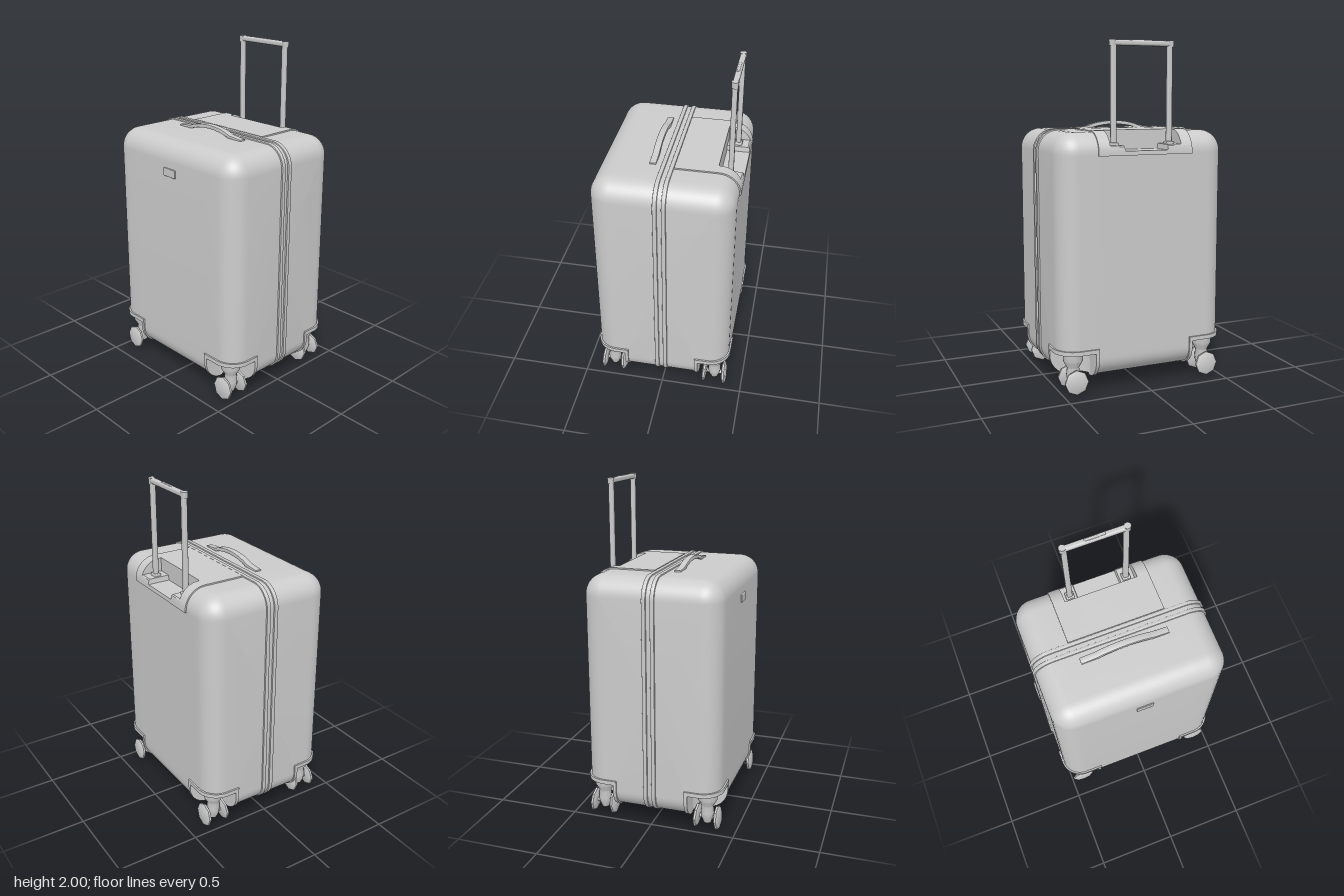
import * as THREE from 'three';
import { toCreasedNormals } from 'three/addons/utils/BufferGeometryUtils.js';
import { RoundedBoxGeometry } from 'three/addons/geometries/RoundedBoxGeometry.js';

const material = new THREE.MeshStandardMaterial({ color: 0xcccccc });
const HX = 0.41, HZ = 0.52, Y0 = 0.08, Y1 = 1.49, R = 0.12; // shell half sizes, heights, corner radius
const CUT_Y = 0.235, CUT_X = 0.23, CUT_Z = 0.31;            // wheel wells
const ARC = 10;

function add(parent, name, geometry, x = 0, y = 0, z = 0) {
  const mesh = new THREE.Mesh(geometry, material);
  mesh.name = name;
  mesh.position.set(x, y, z);
  parent.add(mesh);
  return mesh;
}

function box(parent, name, w, h, d, x, y, z, r = 0.006) {
  return add(parent, name, new RoundedBoxGeometry(w, h, d, 2, r), x, y, z);
}

function extrude(shape, depth, bevel = 0) {
  const geometry = new THREE.ExtrudeGeometry(shape, {
    depth, curveSegments: 10, bevelEnabled: bevel > 0,
    bevelSize: bevel, bevelThickness: bevel, bevelSegments: 2,
  });
  return toCreasedNormals(geometry, 0.6);
}

// Shape drawn in (z, y), thickness running along -x
const extrudeX = (shape, depth, bevel) => extrude(shape, depth, bevel).rotateY(-Math.PI / 2);
// Shape drawn in (x, z), thickness running down
const extrudeDown = (shape, depth, bevel) => extrude(shape, depth, bevel).rotateX(Math.PI / 2);

// One shell outline at depth z; wheel wells, raised panel and handle recess are optional
function section({ z, inset = 0, wheel = false, panel = false, floor = null }) {
  const hx = HX - inset, y0 = Y0 + inset, y1 = Y1 - inset, r = R - inset;
  const lift = panel ? 0.008 : 0;
  const points = [];
  const put = (x, y) => points.push(new THREE.Vector3(x, y, z));
  const low = (x, y) => put(x, wheel ? Math.max(y, CUT_Y) : y);
  const sunk = (x, y) => put(x, floor === null ? y : Math.min(y, floor));
  const arc = (cx, cy, start, radius, emit) => {
    for (let i = 0; i <= ARC; i++) {
      const a = start + (i / ARC) * Math.PI / 2;
      emit(cx + radius * Math.cos(a), cy + radius * Math.sin(a));
    }
  };
  const cx = HX - R, cb = Y0 + R, ct = Y1 - R;
  low(-CUT_X, y0); put(-CUT_X, y0); put(CUT_X, y0); low(CUT_X, y0);
  arc(cx, cb, -Math.PI / 2, r, low);
  put(hx, CUT_Y);
  put(hx, 1.36); put(hx + lift, 1.36);
  arc(cx, ct, 0, r + lift, sunk);
  sunk(0.28, y1 + lift); put(0.28, y1 + lift);
  put(0.04, y1 + lift); put(0.04, y1);
  arc(-cx, ct, Math.PI / 2, r, put);
  put(-hx, CUT_Y);
  arc(-cx, cb, Math.PI, r, low);
  return points;
}

// Shell lofted from back to front
function shellGeometry() {
  const half = [
    { z: 0.13, panel: true, floor: 1.385 }, { z: 0.135, panel: true, floor: 1.415 },
    { z: 0.22, panel: true, floor: 1.415 }, { z: 0.22, panel: true },
    { z: 0.29, panel: true }, { z: 0.29 },
    { z: CUT_Z }, { z: CUT_Z, wheel: true },
  ];
  for (let i = 0; i <= ARC; i++) {
    const a = (i / ARC) * Math.PI / 2;
    half.push({ z: HZ - R + R * Math.sin(a), inset: R * (1 - Math.cos(a)), wheel: true });
  }
  const stations = [...half.map((s) => ({ ...s, z: -s.z })).reverse(), ...half];
  const rings = stations.map(section);
  const positions = [];
  const cross = new THREE.Vector3(), edge = new THREE.Vector3();
  const tri = (a, b, c) => {
    cross.subVectors(b, a).cross(edge.subVectors(c, a));
    if (cross.length() > 1e-9) for (const p of [a, b, c]) positions.push(p.x, p.y, p.z);
  };
  const n = rings[0].length;
  for (let s = 0; s < rings.length - 1; s++) {
    for (let i = 0; i < n; i++) {
      const j = (i + 1) % n, a = rings[s], b = rings[s + 1];
      tri(a[i], a[j], b[j]);
      tri(a[i], b[j], b[i]);
    }
  }
  const mid = (Y0 + Y1) / 2, first = rings[0], last = rings[rings.length - 1];
  for (let i = 0; i < n; i++) {
    const j = (i + 1) % n;
    tri(new THREE.Vector3(0, mid, HZ), last[i], last[j]);
    tri(new THREE.Vector3(0, mid, -HZ), first[j], first[i]);
  }
  const geometry = new THREE.BufferGeometry();
  geometry.setAttribute('position', new THREE.Float32BufferAttribute(positions, 3));
  return toCreasedNormals(geometry, 0.6);
}

function roundedRect(target, hw, y0, y1, r) {
  target.moveTo(hw, y0 + r);
  target.absarc(hw - r, y1 - r, r, 0, Math.PI / 2);
  target.absarc(-hw + r, y1 - r, r, Math.PI / 2, Math.PI);
  target.absarc(-hw + r, y0 + r, r, Math.PI, Math.PI * 1.5);
  target.absarc(hw - r, y0 + r, r, Math.PI * 1.5, Math.PI * 2);
  return target;
}

// Curved strip wrapping the lower edge; centre is the distance to the corner arc centre
function bandShape(centre) {
  const cy = Y0 + R, shape = new THREE.Shape();
  shape.moveTo(centre + 0.108, 0.26);
  shape.lineTo(centre + 0.108, cy);
  shape.absarc(centre, cy, 0.108, 0, -Math.PI / 2, true);
  shape.lineTo(centre, cy - 0.128);
  shape.absarc(centre, cy, 0.128, -Math.PI / 2, 0, false);
  shape.lineTo(centre + 0.128, 0.26);
  return shape;
}

// Corner guard, wheel well and twin-wheel caster for the +x +z corner
function buildCorner() {
  const corner = new THREE.Group();

  const rim = new THREE.Shape();
  rim.moveTo(0.21, 0.53);
  rim.lineTo(0.21, 0.49);
  rim.lineTo(0.29, 0.49);
  rim.absarc(0.29, 0.40, 0.09, Math.PI / 2, 0, true);
  rim.lineTo(0.38, 0.29);
  rim.lineTo(0.42, 0.29);
  rim.absarc(0.29, 0.40, 0.13, 0, Math.PI / 2, false);
  add(corner, 'cornerGuardRim', extrudeDown(rim, 0.025), 0, 0.26, 0);

  add(corner, 'cornerGuardFrontBand', extrudeX(bandShape(HZ - R), 0.02), 0.23, 0, 0);
  add(corner, 'cornerGuardSideBand', extrude(bandShape(HX - R), 0.02), 0, 0, 0.29);

  const liner = new THREE.Shape();
  liner.moveTo(0.22, 0.30);
  liner.lineTo(0.33, 0.30);
  liner.quadraticCurveTo(0.25, 0.33, 0.22, 0.43);
  add(corner, 'wheelWellLiner', extrudeDown(liner, 0.15), 0, 0.238, 0);

  const caster = new THREE.Group();
  caster.name = 'caster';
  caster.position.set(0.325, 0, 0.42);
  corner.add(caster);
  const forkProfile = [[0, 0.03], [0.022, 0.035], [0.036, 0.07], [0.04, 0.1], [0.036, 0.145],
    [0.058, 0.185], [0.06, 0.24], [0, 0.24]].map(([r, y]) => new THREE.Vector2(r, y));
  add(caster, 'casterFork', toCreasedNormals(new THREE.LatheGeometry(forkProfile, 12), 0.6));
  add(caster, 'axle', new THREE.CylinderGeometry(0.014, 0.014, 0.13, 10).rotateZ(Math.PI / 2), 0, 0.071, 0);
  const wheelProfile = [[0, -0.017], [0.056, -0.013], [0.071, -0.006], [0.071, 0.006], [0.056, 0.013], [0, 0.017]]
    .map(([r, y]) => new THREE.Vector2(r, y));
  for (const side of [-1, 1]) {
    const wheel = toCreasedNormals(new THREE.LatheGeometry(wheelProfile, 8), 0.5).rotateZ(Math.PI / 2);
    add(caster, 'wheel', wheel, side * 0.062, 0.071, 0).rotation.z = side * 0.06;
  }
  return corner;
}

export function createModel() {
  const suitcase = new THREE.Group();
  suitcase.name = 'suitcase';

  add(suitcase, 'shell', shellGeometry());

  // Twin rails around the opening seam
  for (const x of [-0.016, 0.034]) {
    const rail = roundedRect(new THREE.Shape(), 0.526, 0.078, 1.494, 0.126);
    rail.holes.push(roundedRect(new THREE.Path(), 0.50, 0.10, 1.47, 0.10));
    add(suitcase, 'seamRail', extrudeX(rail, 0.017, 0.004), x, 0, 0);
  }

  // Arched carry strap
  const strap = new THREE.Shape();
  strap.moveTo(-0.26, 1.485);
  strap.lineTo(-0.17, 1.487);
  strap.bezierCurveTo(-0.08, 1.528, 0.08, 1.528, 0.17, 1.487);
  strap.lineTo(0.26, 1.485);
  strap.lineTo(0.26, 1.496);
  strap.lineTo(0.17, 1.505);
  strap.bezierCurveTo(0.08, 1.546, -0.08, 1.546, -0.17, 1.505);
  strap.lineTo(-0.26, 1.496);
  add(suitcase, 'carryHandle', extrudeX(strap, 0.034, 0.002), -0.07, 0, 0);

  // Telescopic handle
  const pull = new THREE.Group();
  pull.name = 'telescopicHandle';
  pull.position.x = 0.343;
  suitcase.add(pull);
  for (const side of [-1, 1]) {
    box(pull, 'handleRod', 0.03, 0.6, 0.032, 0, 1.68, side * 0.174, 0.01);
    box(pull, 'rodCollar', 0.045, 0.02, 0.05, 0, 1.42, side * 0.174);
    add(pull, 'gripEnd', new THREE.CylinderGeometry(0.02, 0.018, 0.036, 16), 0, 1.981, side * 0.18);
  }
  box(pull, 'grip', 0.033, 0.032, 0.38, 0, 1.982, 0, 0.012);
  box(pull, 'releaseButton', 0.018, 0.01, 0.12, 0, 1.995, 0, 0.004);

  // Small plain plate on the opposite side
  box(suitcase, 'sidePlate', 0.014, 0.05, 0.1, -0.41, 1.31, 0, 0.004);

  // Four corners
  for (const sx of [-1, 1]) for (const sz of [-1, 1]) {
    const corner = buildCorner();
    corner.name = (sz > 0 ? 'front' : 'back') + (sx > 0 ? 'Left' : 'Right') + 'Corner';
    corner.scale.set(sx, 1, sz);
    suitcase.add(corner);
  }
  return suitcase;
}
